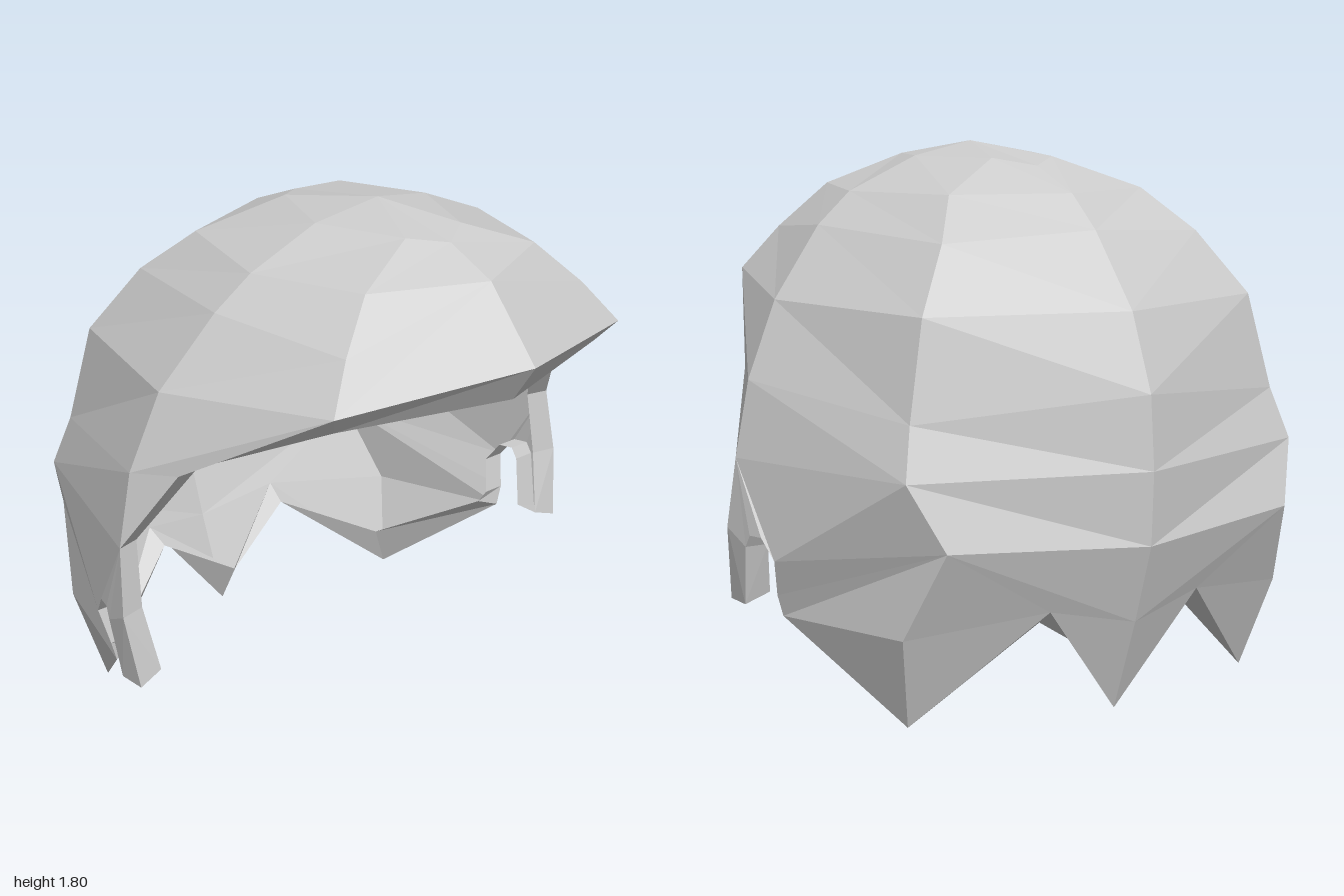
import * as THREE from 'three';

// Columns run from the crown down to the rim on the left half: [x, y, z]
const apex = [0, 1.8, 0.17];
const front = [apex, [0, 1.73, 0.51], [0, 1.65, 0.69], [0, 1.42, 0.89]];
const brow = [apex, [0.12, 1.75, 0.43], [0.37, 1.65, 0.52], [0.52, 1.5, 0.6], [0.63, 1.355, 0.67]];
const side = [apex, [0.24, 1.755, 0.14], [0.5, 1.645, 0.13], [0.63, 1.54, 0.11], [0.82, 1.31, 0.06],
  [0.93, 1.06, 0.04], [0.98, 0.81, 0.04]];
const corner = [apex, [0.12, 1.755, -0.15], [0.38, 1.65, -0.3], [0.5, 1.51, -0.45], [0.64, 1.3, -0.56],
  [0.71, 0.98, -0.6], [0.755, 0.81, -0.65], [0.665, 0.6, -0.74], [0.74, 0.31, -0.6], [0.67, 0, -0.51]];
const back = [apex, [0, 1.73, -0.24], [0, 1.65, -0.44], [0, 1.54, -0.57], [0, 1.3, -0.77],
  [0, 1.05, -0.87], [0, 0.81, -0.89], [0, 0.57, -0.88], [0, 0.31, -0.8], [0, 0, -0.69]];

// Temple, sideburn, notch and tooth points
const temple = [0.86, 1.08, 0.2];
const burn = [[1, 0.58, 0.07], [0.97, 0.33, 0.11], [0.97, 0.33, 0.01]];
const notch = [[0.985, 0.53, -0.03], [0.98, 0.57, -0.05], [0.965, 0.57, -0.1],
  [0.945, 0.5, -0.15], [0.92, 0.38, -0.12], [0.9, 0.31, -0.12]];
const valley = [0.29, 0.37, -0.745];

// Quads between two columns over a range of rows
function strip(a, b, from, to) {
  const faces = [];
  for (let i = from; i < to; i++) faces.push([a[i], b[i], b[i + 1], a[i + 1]]);
  return faces;
}

// Fans each polygon into triangles and adds its mirror image
function mirroredMesh(name, polygons) {
  const position = [];
  const a = new THREE.Vector3(), b = new THREE.Vector3(), c = new THREE.Vector3();
  const centre = new THREE.Vector3(0, 0.9, 0);
  for (const poly of polygons) {
    for (let i = 1; i < poly.length - 1; i++) {
      let tri = [poly[0], poly[i], poly[i + 1]];
      a.fromArray(tri[0]); b.fromArray(tri[1]); c.fromArray(tri[2]);
      const normal = b.clone().sub(a).cross(c.clone().sub(a));
      if (normal.length() < 1e-6) continue;
      const out = a.clone().add(b).add(c).divideScalar(3).sub(centre);
      if (normal.dot(out) < 0) tri = [tri[0], tri[2], tri[1]];
      for (const p of tri) position.push(...p);
      for (const p of [tri[0], tri[2], tri[1]]) position.push(-p[0], p[1], p[2]);
    }
  }
  const geometry = new THREE.BufferGeometry();
  geometry.setAttribute('position', new THREE.Float32BufferAttribute(position, 3));
  geometry.computeVertexNormals();
  const mesh = new THREE.Mesh(geometry, new THREE.MeshStandardMaterial({
    color: 0xcccccc, flatShading: true, side: THREE.DoubleSide }));
  mesh.name = name;
  return mesh;
}

export function createModel() {
  const group = new THREE.Group();
  group.name = 'hairShell';

  // Crown and fringe
  group.add(mirroredMesh('crown', [
    ...strip(front, brow, 0, 2),
    [front[2], brow[2], brow[3], brow[4], front[3]],
    ...strip(brow, side, 0, 4),
    [brow[4], side[4], side[5], temple],
    [temple, side[5], side[6]],
  ]));

  // Sides and back of the head
  group.add(mirroredMesh('sidesAndBack', [
    ...strip(side, corner, 0, 6),
    ...strip(corner, back, 0, 7),
    [side[6], notch[2], notch[3], corner[6]],
    [corner[7], corner[8], notch[5], notch[4], notch[3], corner[6]],
    [corner[7], corner[8], valley, back[8], back[7]],
  ]));

  // Sideburns in front of the notches
  group.add(mirroredMesh('sideburns', [
    [side[6], notch[2], notch[1], notch[0], burn[0]],
    [burn[0], notch[0], burn[2], burn[1]],
  ]));

  // Pointed locks at the nape
  group.add(mirroredMesh('napeLocks', [
    [corner[8], notch[5], corner[9]],
    [corner[8], corner[9], valley],
    [valley, back[9], back[8]],
  ]));

  // Lip folded inward all along the rim: outer points paired with inner points
  const inward = (p) => [p[0] - 0.08, p[1], p[2]];
  const rim = [
    [front[3], [0, 1.29, 0.8]],
    [brow[4], [0.58, 1.28, 0.61]],
    [temple, [0.76, 1.07, 0.17]],
    [side[6], [0.9, 0.81, 0.02]],
    [burn[0], [0.91, 0.58, 0.05]],
    [burn[1], [0.88, 0.36, 0.1]],
    [burn[2], [0.88, 0.36, 0.01]],
    ...notch.slice(0, 5).map((p) => [p, inward(p)]),
    [notch[5], [0.82, 0.34, -0.14]],
    [corner[9], [0.61, 0.15, -0.49]],
    [valley, [0.28, 0.32, -0.67]],
    [back[9], [0, 0.15, -0.61]],
  ];
  const lip = [];
  for (let i = 0; i < rim.length - 1; i++) {
    lip.push([rim[i][0], rim[i + 1][0], rim[i + 1][1], rim[i][1]]);
  }
  group.add(mirroredMesh('rimLip', lip));

  return group;
}
